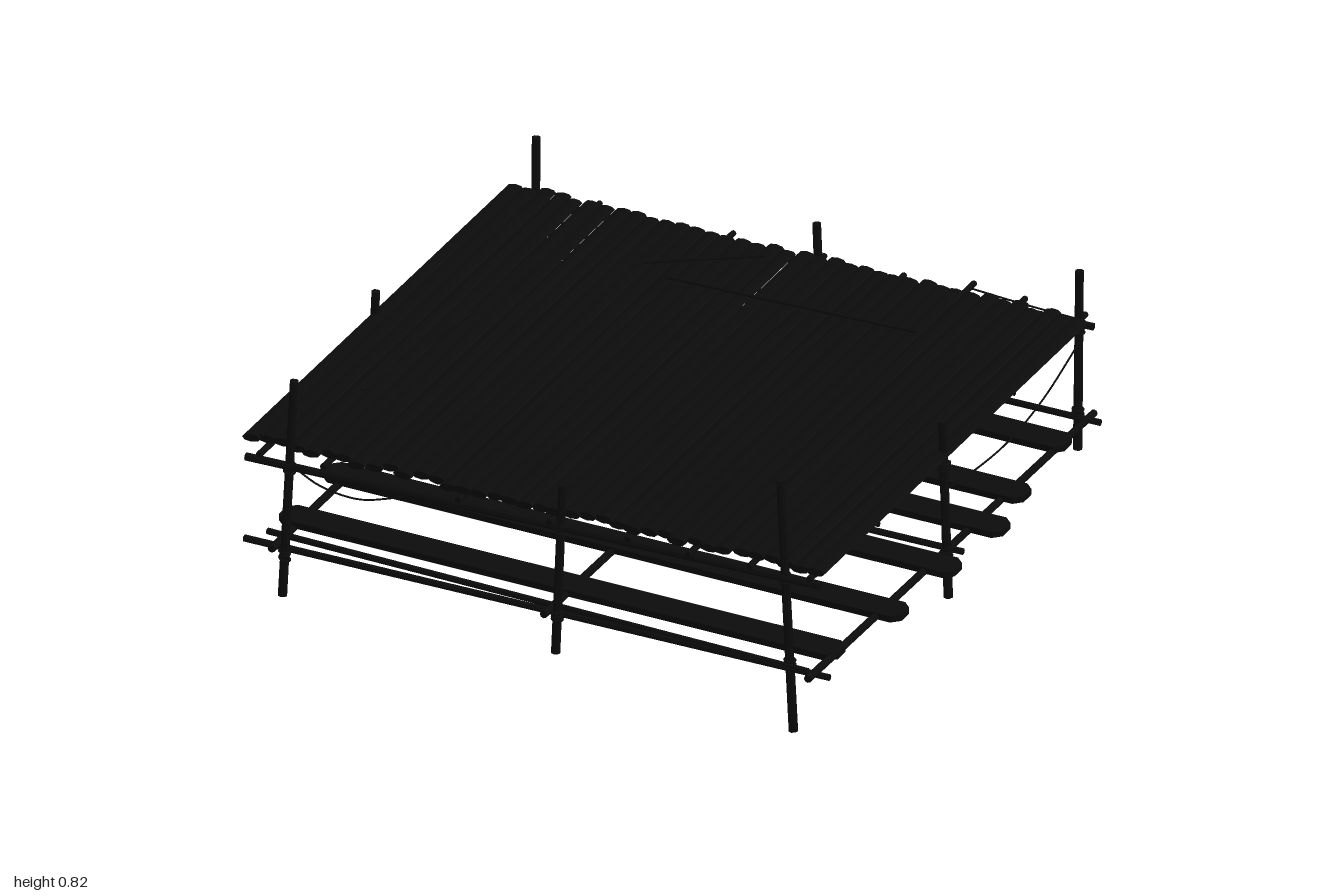
import * as THREE from 'three';

const dark = new THREE.MeshStandardMaterial({ color: 0x0b0b0b, flatShading: true });
const UP = new THREE.Vector3(0, 1, 0);
const V = (p) => new THREE.Vector3(...p);

// small seeded generator for natural irregularity
let seed = 7;
const rand = (a, b) => {
  seed = (seed * 16807) % 2147483647;
  return a + (b - a) * (seed / 2147483647);
};

function add(parent, name, geometry) {
  const mesh = new THREE.Mesh(geometry, dark);
  mesh.name = name;
  parent.add(mesh);
  return mesh;
}

// round pole between two points
function pole(parent, name, from, to, r = 0.013) {
  const a = V(from), b = V(to), d = b.clone().sub(a);
  const mesh = add(parent, name, new THREE.CylinderGeometry(r * 0.92, r, d.length(), 8));
  mesh.position.copy(a).add(b).multiplyScalar(0.5);
  mesh.quaternion.setFromUnitVectors(UP, d.normalize());
  return mesh;
}

// thin rope through points
function rope(parent, name, points, r = 0.003) {
  const curve = new THREE.CatmullRomCurve3(points.map(V));
  return add(parent, name, new THREE.TubeGeometry(curve, 20, r, 5));
}

// flat board with cut corners, running along x
function board(parent, x0, x1, z, width, y0, y1, thick) {
  const L = x1 - x0, h = width / 2, c = 0.025;
  const s = new THREE.Shape([
    [0, -h + c], [c, -h], [L - c, -h], [L, -h + c], [L, h - c], [L - c, h], [c, h], [0, h - c],
  ].map(([x, y]) => new THREE.Vector2(x, y)));
  const g = new THREE.ExtrudeGeometry(s, { depth: thick, bevelEnabled: false });
  g.rotateX(-Math.PI / 2);
  const mesh = add(parent, 'lowerPlank', g);
  mesh.position.set(x0, y0, z);
  mesh.rotation.z = Math.atan2(y1 - y0, L);
}

export function createModel() {
  seed = 7;
  const root = new THREE.Group();
  root.name = 'polePlatform';
  const group = (name) => {
    const g = new THREE.Group();
    g.name = name;
    root.add(g);
    return g;
  };

  // nine leaning uprights: foot, head
  const posts = group('posts');
  const uprights = [
    [[-0.822, 0.09, 0.94], [-0.806, 0.78, 0.895]],
    [[0.055, 0.1, 0.925], [0.063, 0.64, 0.895]],
    [[0.806, 0, 0.887], [0.767, 0.82, 0.893]],
    [[-0.985, 0.06, 0.037], [-0.957, 0.63, 0.045]],
    [[0.02, 0.035, 0], [0.018, 0.52, 0]],
    [[0.906, 0.07, 0.065], [0.888, 0.645, 0.068]],
    [[-0.882, 0.1, -0.855], [-0.881, 0.72, -0.862]],
    [[0.02, 0.09, -0.918], [0.016, 0.635, -0.885]],
    [[0.868, 0.1, -0.87], [0.876, 0.69, -0.866]],
  ];
  uprights.forEach(([a, b]) => pole(posts, 'post', a, b, 0.0145));

  // rope lashings where rails cross the uprights
  const lashings = group('lashings');
  for (const [a, b] of uprights) {
    for (const y of [0.22, 0.5]) {
      const p = V(a).lerp(V(b), (y - a[1]) / (b[1] - a[1]));
      for (const dy of [-0.012, 0, 0.012]) {
        const ring = add(lashings, 'lashing', new THREE.TorusGeometry(0.016, 0.004, 5, 10));
        ring.rotation.set(Math.PI / 2, rand(-0.3, 0.3), 0);
        ring.position.set(p.x, p.y + dy, p.z);
      }
    }
  }

  // lower frame
  const lower = group('lowerFrame');
  for (const [x, y] of [[-0.95, 0.232], [0.035, 0.222], [0.89, 0.21]]) {
    const lean = x < -0.5 ? 0.08 : 0;
    pole(lower, 'lowerCrossRail', [x + lean * 1.3, y + 0.017, 0.965], [x + lean, y - 0.018, -0.935], 0.012);
  }
  for (const [z, dy] of [[0.91, 0.01], [0.025, 0], [-0.885, -0.012]]) {
    pole(lower, 'lowerLongRail', [-0.96, 0.222 + dy, z], [0.93, 0.2 + dy, z - 0.01], 0.011);
  }
  pole(lower, 'lowerFrontRail', [-0.9, 0.255, 0.88], [0.86, 0.215, 0.9], 0.01);

  // lower planks: z, right-hand end, width
  const planks = group('lowerPlanks');
  for (const [z, end, w] of [[-0.7, 0.92, 0.1], [-0.36, 0.955, 0.1], [-0.14, 0.995, 0.1],
    [0.15, 0.98, 0.1], [0.47, 0.965, 0.1], [0.77, 0.905, 0.1]]) {
    board(planks, -0.9 + rand(-0.03, 0.03), end, z, w, 0.24 + z * 0.012, 0.205 + z * 0.012, 0.02);
  }

  // upper frame: long rails carry the joists
  const upper = group('upperFrame');
  for (const [z0, z1, y] of [[0.92, 0.895, 0.508], [0.03, 0.045, 0.502], [-0.88, -0.91, 0.496]]) {
    pole(upper, 'upperLongRail', [-0.95, y, z0], [0.9, y - 0.006, z1], 0.0125);
  }
  for (const [x, zBack] of [[-0.9, -0.91], [-0.71, -0.935], [-0.28, -0.94], [0.02, -0.93],
    [0.28, -0.925], [0.485, -0.97], [0.66, -0.95], [0.86, -0.94]]) {
    pole(upper, 'joist', [x + rand(-0.02, 0.02), 0.525, rand(0.9, 0.945)], [x, 0.508, zBack], 0.01);
  }
  for (const z of [-0.45, 0.45]) {
    pole(upper, 'innerRail', [-0.93, 0.502, z], [0.88, 0.497, z + 0.02], 0.009);
  }

  // deck of flattened split logs laid side by side
  const deck = group('deck');
  const count = 38, step = 1.83 / (count - 1);
  for (let i = 0; i < count; i++) {
    const x = -0.947 + i * step;
    const back = rand(-0.875, -0.845), front = rand(0.88, 0.91);
    const g = new THREE.CylinderGeometry(0.03, 0.027, front - back, 8, 4);
    g.rotateX(Math.PI / 2);
    g.scale(1, 0.42, 1);
    const log = add(deck, 'deckLog', g);
    log.position.set(x, 0.544 - x * 0.006 + rand(-0.003, 0.003), (front + back) / 2);
    log.rotation.set(-0.008, rand(-0.003, 0.003), rand(-0.1, 0.1));
  }

  // loose sticks lying on the deck
  const sticks = group('looseSticks');
  pole(sticks, 'stick', [-0.4, 0.556, -0.58], [-0.1, 0.553, -0.78], 0.005);
  pole(sticks, 'stick', [-0.3, 0.555, -0.53], [0.5, 0.552, -0.55], 0.005);
  pole(sticks, 'stick', [-0.78, 0.563, 0.5], [-0.7, 0.563, -0.1], 0.006);

  // slack ropes hanging below the deck and a taut line at the back
  const ropes = group('ropes');
  rope(ropes, 'sideRope', [[0.9, 0.42, 0.04], [0.9, 0.395, -0.13], [0.9, 0.383, -0.35],
    [0.89, 0.4, -0.6], [0.878, 0.46, -0.87]]);
  rope(ropes, 'frontRope', [[-0.81, 0.5, 0.9], [-0.72, 0.455, 0.9], [-0.6, 0.44, 0.9],
    [-0.5, 0.465, 0.9], [-0.4, 0.505, 0.9]]);
  rope(ropes, 'backRope', [[0.33, 0.5, -0.89], [0.46, 0.445, -0.89], [0.6, 0.432, -0.89],
    [0.72, 0.46, -0.89], [0.87, 0.5, -0.88]]);
  rope(ropes, 'innerRope', [[0.28, 0.495, -0.4], [0.5, 0.46, -0.5], [0.68, 0.435, -0.6], [0.86, 0.49, -0.7]]);
  rope(ropes, 'tautLine', [[-0.9, 0.13, -0.86], [-0.4, 0.124, -0.89], [0.02, 0.117, -0.915]], 0.004);
  rope(ropes, 'trailingRope', [[0.49, 0.515, -0.925], [0.68, 0.505, -0.92], [0.87, 0.5, -0.915]]);

  return root;
}
